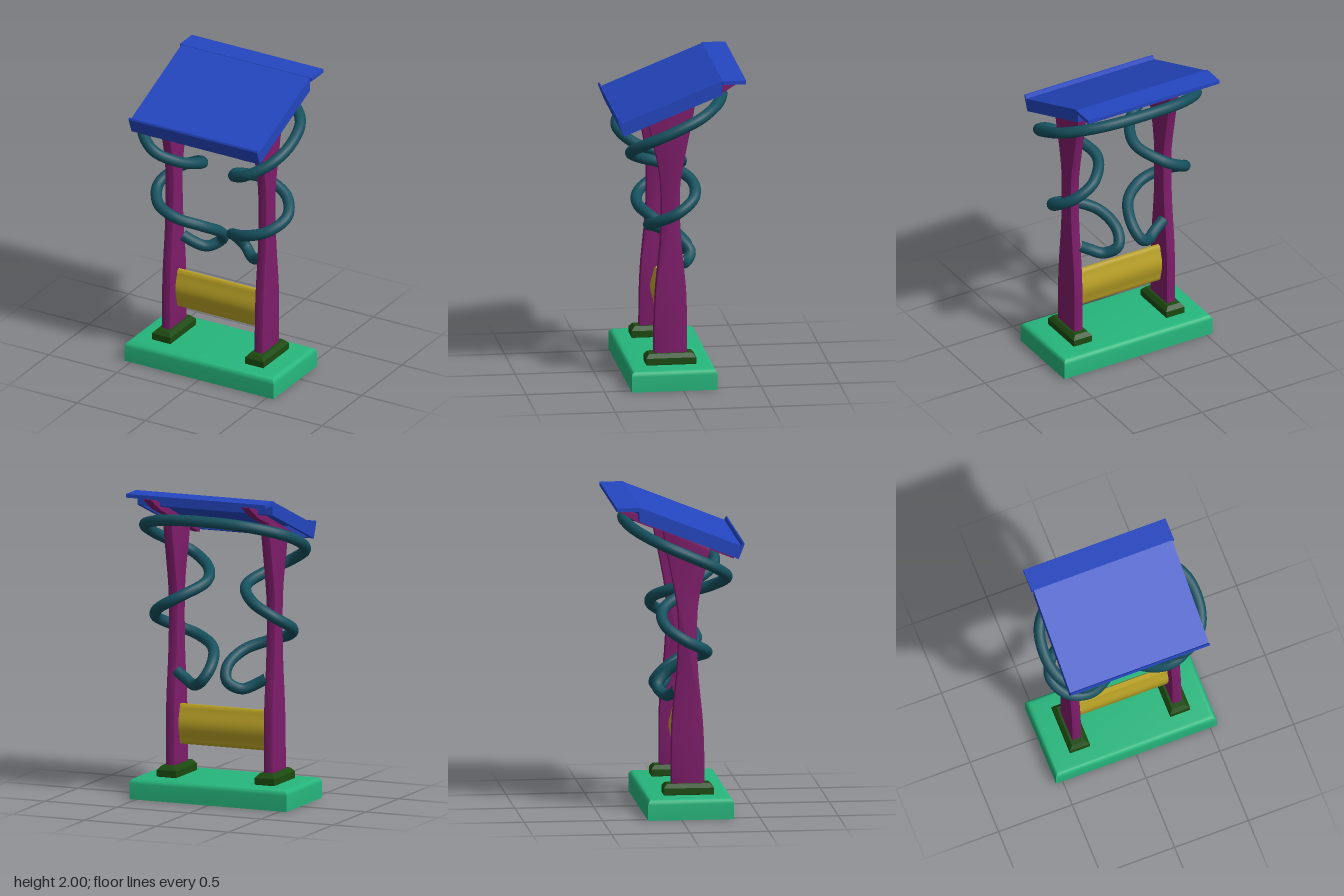
import * as THREE from 'three';
import { toCreasedNormals } from 'three/addons/utils/BufferGeometryUtils.js';

const mat = (color) => new THREE.MeshStandardMaterial({ color });
const green = mat(0x26b67c), darkGreen = mat(0x1c4a10), purple = mat(0x7f1d6b);
const blue = mat(0x2446c0), teal = mat(0x15505e), yellow = mat(0xbaa226);

function addMesh(parent, name, geometry, material) {
  const mesh = new THREE.Mesh(geometry, material);
  mesh.name = name;
  parent.add(mesh);
  return mesh;
}

// Side profile given as [z, y] points, extruded along x and centred on x = cx
function sideExtrude(points, width, cx = 0, bevel = 0) {
  const shape = new THREE.Shape(points.map(([z, y]) => new THREE.Vector2(z, y)));
  const geo = new THREE.ExtrudeGeometry(shape, {
    depth: width - 2 * bevel, steps: 1, bevelEnabled: bevel > 0,
    bevelThickness: bevel, bevelSize: bevel, bevelOffset: -bevel, bevelSegments: 2,
  });
  geo.translate(0, 0, -(width - 2 * bevel) / 2);
  geo.rotateY(-Math.PI / 2);
  geo.translate(cx, 0, 0);
  return toCreasedNormals(geo, 0.6);
}

// Block made of stacked rectangles, each layer being [inset, y]
function layeredBlock(width, depth, layers, crease) {
  const pos = [], index = [];
  for (const [inset, y] of layers) {
    const x = width / 2 - inset, z = depth / 2 - inset;
    pos.push(-x, y, z, x, y, z, x, y, -z, -x, y, -z);
  }
  for (let i = 0; i < layers.length - 1; i++) {
    for (let j = 0; j < 4; j++) {
      const a = i * 4 + j, b = i * 4 + (j + 1) % 4;
      index.push(a, b, b + 4, a, b + 4, a + 4);
    }
  }
  const t = (layers.length - 1) * 4;
  index.push(t, t + 1, t + 2, t, t + 2, t + 3, 0, 2, 1, 0, 3, 2);
  const geo = new THREE.BufferGeometry();
  geo.setAttribute('position', new THREE.Float32BufferAttribute(pos, 3));
  geo.setIndex(index);
  return toCreasedNormals(geo, crease);
}

export function createModel() {
  const model = new THREE.Group();
  model.name = 'signStand';

  // Ground slab with a rounded upper rim
  const rim = [[0, 0], [0, 0.1]];
  for (let i = 1; i <= 5; i++) {
    const a = (i / 5) * Math.PI / 2;
    rim.push([0.035 * (1 - Math.cos(a)), 0.1 + 0.036 * Math.sin(a)]);
  }
  addMesh(model, 'base', layeredBlock(1.09, 0.545, rim, 0.7), green).position.z = 0.058;

  // Post outline: wide foot, narrow waist, flared head cut along the roof slope
  const front = new THREE.SplineCurve([[0.165, 0.2], [0.163, 0.4], [0.153, 0.62], [0.122, 0.95],
    [0.118, 1.25], [0.135, 1.42], [0.172, 1.58], [0.203, 1.72]].map((p) => new THREE.Vector2(...p)));
  const back = new THREE.SplineCurve([[-0.1, 1.84], [-0.08, 1.72], [-0.04, 1.52], [-0.005, 1.32],
    [0, 1.15], [-0.01, 0.92], [-0.04, 0.62], [-0.045, 0.4], [-0.045, 0.2]].map((p) => new THREE.Vector2(...p)));
  const postOutline = [...front.getPoints(24), ...back.getPoints(24)].map((p) => [p.x, p.y]);
  const railOutline = [[0.35, 1.642], [0.355, 1.67], [-0.25, 1.93], [-0.395, 1.985],
    [-0.4, 1.972], [-0.26, 1.885], [-0.1, 1.822]];

  for (const [side, sx] of [['left', 1], ['right', -1]]) {
    addMesh(model, side + 'Post', sideExtrude(postOutline, 0.062, 0.34 * sx, 0.006), purple);
    addMesh(model, side + 'RoofRail', sideExtrude(railOutline, 0.055, 0.34 * sx), purple);
    const shoe = addMesh(model, side + 'PostShoe', layeredBlock(0.135, 0.32,
      [[0.004, 0.13], [0, 0.14], [0, 0.18], [0.022, 0.206]], 0.3), darkGreen);
    shoe.position.set(0.34 * sx, 0, 0.06);
  }

  // Cross panel with a waisted section between the posts
  const half = [];
  for (let i = 0; i <= 20; i++) {
    const t = i / 20;
    const round = Math.sqrt(Math.min(1, Math.min(t, 1 - t) / 0.06));
    half.push([0.018 + 0.024 * (1 - Math.cos(t * Math.PI * 2 + Math.PI)) / 2 * -1 + 0.024, 0.332 + 0.258 * t, round]);
  }
  const panel = [
    ...half.map(([w, y, r]) => [0.055 + w * (0.5 + 0.5 * r), y]),
    ...half.slice().reverse().map(([w, y, r]) => [0.055 - w * (0.5 + 0.5 * r), y]),
  ];
  addMesh(model, 'crossPanel', sideExtrude(panel, 0.63), yellow);

  // Hollow sloping roof: sheet, skirts, front lip, back wall and flat ledge
  const roof = new THREE.Group();
  roof.name = 'roof';
  model.add(roof);
  addMesh(roof, 'roofSheet', sideExtrude([[0.385, 1.742], [-0.26, 2], [-0.26, 1.975], [0.375, 1.72]], 0.94), blue);
  for (const sx of [1, -1]) {
    addMesh(roof, 'roofSkirt', sideExtrude([[0.38, 1.741], [-0.259, 1.998], [-0.259, 1.908], [0.365, 1.66]],
      0.025, 0.4575 * sx), blue);
  }
  addMesh(roof, 'roofFrontLip', sideExtrude([[0.37, 1.655], [0.408, 1.752], [0.404, 1.764], [0.396, 1.762],
    [0.385, 1.738], [0.35, 1.664]], 0.94), blue);
  addMesh(roof, 'roofBackWall', sideExtrude([[-0.235, 1.9], [-0.26, 1.91], [-0.26, 1.99], [-0.235, 1.98]], 0.93), blue);
  addMesh(roof, 'roofLedge', sideExtrude([[-0.255, 2], [-0.407, 2], [-0.407, 1.976], [-0.255, 1.976]], 0.964), blue);

  // One long tube coiling round both posts and crossing behind, mirrored in x
  const coil = [[0.31, 0.805, 0], [0.24, 0.765, -0.02], [0.165, 0.737, -0.06], [0.085, 0.785, -0.105],
    [0.055, 0.87, -0.04], [0.11, 0.96, 0.1], [0.26, 1.02, 0.185], [0.4, 1.07, 0.155],
    [0.47, 1.14, 0.03], [0.4, 1.22, -0.085], [0.26, 1.3, -0.09], [0.14, 1.38, 0.06],
    [0.2, 1.445, 0.23], [0.34, 1.52, 0.31], [0.47, 1.6, 0.23], [0.52, 1.68, 0.07],
    [0.48, 1.76, -0.12], [0.3, 1.82, -0.26]].map((p) => new THREE.Vector3(...p));
  const mirrored = coil.slice().reverse().map((p) => new THREE.Vector3(-p.x, p.y, p.z));
  const path = new THREE.CatmullRomCurve3([...coil, new THREE.Vector3(0, 1.84, -0.305), ...mirrored]);
  addMesh(model, 'coiledTube', new THREE.TubeGeometry(path, 260, 0.036, 14, false), teal);

  return model;
}
